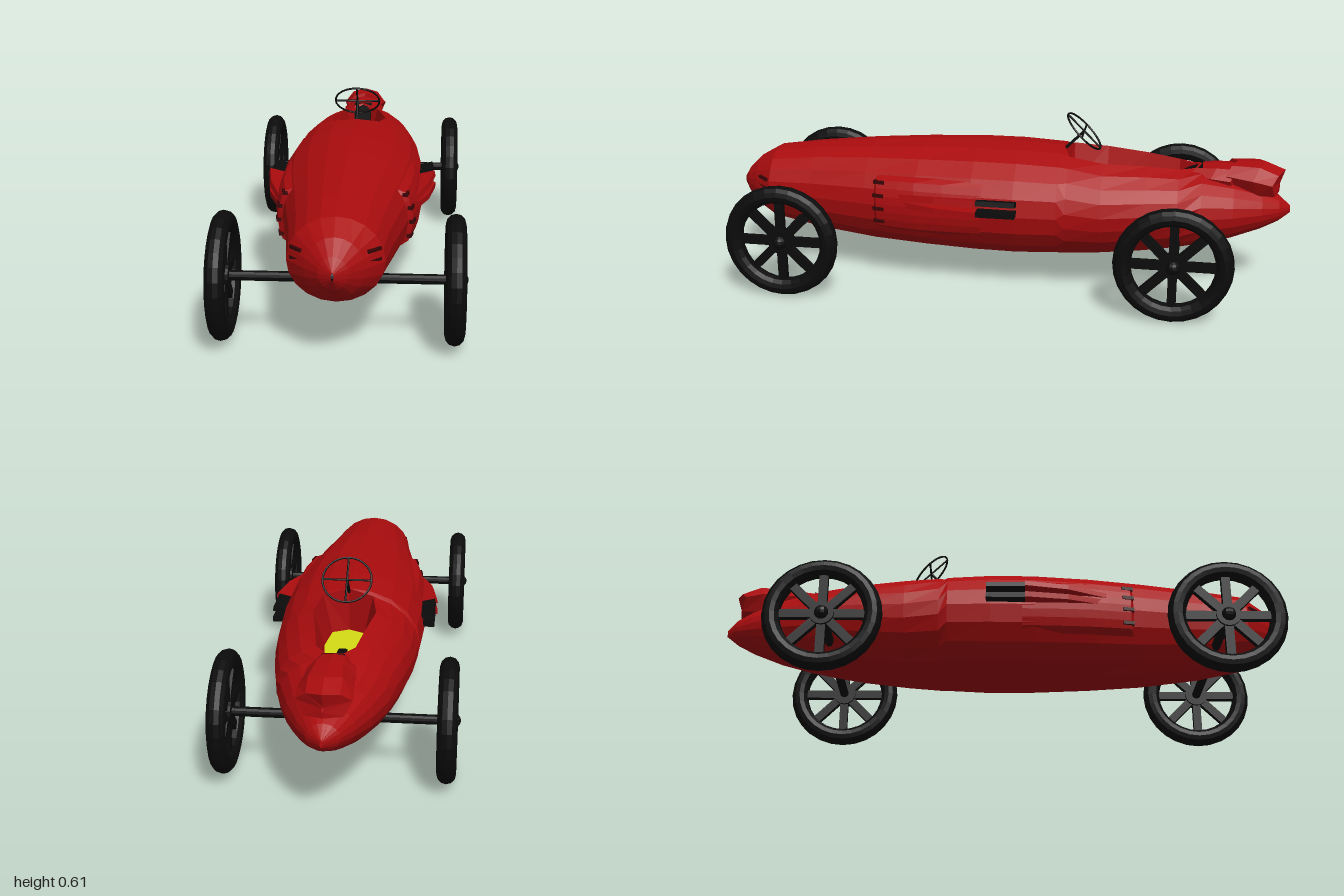
import * as THREE from 'three';

const paint = (color) => new THREE.MeshStandardMaterial({ color, flatShading: true, side: THREE.DoubleSide });
const red = paint(0xaa0c0e), black = paint(0x0b0b0b), yellow = paint(0xd6dc14), dark = paint(0x3a0406);

const MID = 0.3; // height of the widest line of the hull
// z, half width, top, bottom, half width of the cockpit opening
const HULL = [
  [1.0, 0.004, 0.31, 0.285, 0], [0.975, 0.045, 0.35, 0.25, 0], [0.93, 0.09, 0.395, 0.205, 0],
  [0.86, 0.148, 0.436, 0.17, 0], [0.7, 0.166, 0.46, 0.135, 0], [0.49, 0.2, 0.48, 0.11, 0],
  [0.3, 0.232, 0.492, 0.1, 0], [0.1, 0.252, 0.5, 0.094, 0], [-0.05, 0.255, 0.5, 0.093, 0],
  [-0.2, 0.247, 0.492, 0.1, 0], [-0.23, 0.245, 0.488, 0.102, 0.085], [-0.35, 0.236, 0.482, 0.112, 0.105],
  [-0.5, 0.215, 0.466, 0.128, 0.08], [-0.61, 0.194, 0.45, 0.145, 0.062], [-0.69, 0.174, 0.436, 0.16, 0.0],
  [-0.8, 0.137, 0.41, 0.188, 0], [-0.9, 0.09, 0.375, 0.225, 0], [-0.96, 0.052, 0.345, 0.255, 0],
  [-1.0, 0.004, 0.31, 0.285, 0],
];

// Skin over rows of points, each row an array of [x, y, z]
function loft(rows) {
  const n = rows[0].length, index = [];
  for (let i = 0; i < rows.length - 1; i++) {
    for (let j = 0; j < n - 1; j++) {
      const a = i * n + j, b = a + 1, c = a + n, d = c + 1;
      index.push(a, b, c, b, d, c);
    }
  }
  const g = new THREE.BufferGeometry();
  g.setAttribute('position', new THREE.Float32BufferAttribute(rows.flat(2), 3));
  g.setIndex(index);
  const flat = g.toNonIndexed();
  flat.computeVertexNormals();
  return flat;
}

// Point on an oval section, angle measured from the top
function onSection([z, w, top, bottom], t, grow = 0) {
  const c = Math.cos(t), mid = Math.min(Math.max(MID, bottom), top);
  return [(w + grow) * Math.sin(t), mid + ((c > 0 ? top - mid : mid - bottom) + grow) * c, z];
}

function hullAt(z) {
  const i = Math.max(0, HULL.findIndex((r) => r[0] <= z) - 1), a = HULL[i], b = HULL[i + 1];
  const k = (a[0] - z) / (a[0] - b[0]);
  return a.map((v, j) => v + (b[j] - v) * k);
}

function add(parent, name, geometry, material, x = 0, y = 0, z = 0) {
  const m = new THREE.Mesh(geometry, material);
  m.name = name;
  m.position.set(x, y, z);
  parent.add(m);
  return m;
}

function rod(parent, name, from, to, radius, material, sides = 8) {
  const a = new THREE.Vector3(...from), b = new THREE.Vector3(...to), d = b.clone().sub(a);
  const m = add(parent, name, new THREE.CylinderGeometry(radius, radius, d.length(), sides), material);
  m.position.copy(a).add(b).multiplyScalar(0.5);
  m.quaternion.setFromUnitVectors(new THREE.Vector3(0, 1, 0), d.normalize());
  return m;
}

function wheel(parent, name, x, z) {
  const g = new THREE.Group();
  g.name = name;
  g.position.set(x, 0.205, z);
  const tyre = add(g, 'tyre', new THREE.TorusGeometry(0.171, 0.031, 12, 28), black);
  tyre.rotation.y = Math.PI / 2;
  for (let i = 0; i < 4; i++) {
    const spoke = add(g, 'spokePair', new THREE.BoxGeometry(0.022, 0.31, 0.03), black);
    spoke.rotation.x = (i * Math.PI) / 4;
  }
  const hub = add(g, 'hub', new THREE.CylinderGeometry(0.042, 0.042, 0.04, 16), black);
  hub.rotation.z = Math.PI / 2;
  add(g, 'hubCap', new THREE.SphereGeometry(0.025, 12, 8), black, Math.sign(x) * 0.016);
  parent.add(g);
}

// One flank: raised scoop, exhaust fins and vents, built on +x
function flank(name) {
  const g = new THREE.Group();
  g.name = name;

  // Raised panel behind the front wheel, fading into the hull
  const rows = [[0.45, 0], [0.44, 0.014], [0.36, 0.014], [0.3, 0.013], [0.2, 0.008], [0.06, 0]].map(([z, lift]) => {
    const sec = hullAt(z), row = [];
    for (let i = 0; i <= 8; i++) {
      row.push(onSection(sec, 0.95 + i * 0.14, i === 0 || i === 8 ? -0.004 : lift));
    }
    return row;
  });
  add(g, 'scoopPanel', loft(rows), red);
  for (const t of [1.12, 1.36, 1.6, 1.84]) {
    const [x, y, z] = onSection(hullAt(0.43), t, 0.011);
    const slot = add(g, 'scoopSlot', new THREE.BoxGeometry(0.016, 0.012, 0.04), dark, x, y, z);
    slot.rotation.y = -0.17;
  }

  // Two flat fins, the upper one tilted up, with dark outlets
  const plan = new THREE.Shape([[0.17, 0.4], [0.222, 0.38], [0.275, 0.22], [0.297, 0.07], [0.2, 0.07]]
    .map(([x, z]) => new THREE.Vector2(x - 0.24, z)));
  [[0.317, 0], [0.346, 0.24]].forEach(([y, tilt]) => {
    const fin = new THREE.Group();
    fin.name = 'exhaustFin';
    fin.position.set(0.24, y, 0);
    fin.rotation.z = tilt;
    const geo = new THREE.ExtrudeGeometry(plan, { depth: 0.02, bevelEnabled: false });
    geo.rotateX(Math.PI / 2).translate(0, 0.01, 0);
    add(fin, 'fairing', geo, red);
    add(fin, 'outlet', new THREE.BoxGeometry(0.07, 0.018, 0.14), black, 0.015, 0, 0.005);
    g.add(fin);
  });

  // Nose vents
  for (const y of [0.313, 0.345]) {
    const vent = add(g, 'noseVent', new THREE.BoxGeometry(0.055, 0.01, 0.012), dark, 0.115, y, 0.888);
    vent.rotation.y = 0.85;
  }
  return g;
}

export function createModel() {
  const car = new THREE.Group();
  car.name = 'racingCar';

  // Hull, left open above the cockpit
  add(car, 'hull', loft(HULL.map((sec) => {
    const a = Math.asin(sec[4] / sec[1]), row = [];
    for (let j = 0; j <= 20; j++) row.push(onSection(sec, a + (j / 20) * (2 * Math.PI - 2 * a)));
    return row;
  })), red);

  // Cockpit walls, floor and seat
  const open = HULL.slice(9, 15), floorY = 0.34;
  const rim = (sec) => onSection(sec, Math.asin(sec[4] / sec[1]));
  for (const side of [1, -1]) {
    add(car, 'cockpitWall', loft(open.map((sec) => {
      const [x, y, z] = rim(sec);
      return [[side * x, y, z], [side * x * 0.65, floorY, z]];
    })), red);
  }
  add(car, 'cockpitFloor', loft(open.map((s) => [[-s[4] * 0.65, floorY, s[0]], [s[4] * 0.65, floorY, s[0]]])), yellow);
  add(car, 'seat', loft([[-0.4, 0.014, 0.35], [-0.52, 0.022, 0.36], [-0.6, 0.032, 0.4], [-0.69, 0.036, 0.452]]
    .map(([z, w, y]) => [[-w, floorY, z], [-w, y, z], [w, y, z], [w, floorY, z]])), black);

  // Headrest and stepped tail block
  const block = (name, rows) => add(car, name, loft(rows.map(([z, w, top, bottom]) => [
    [0, top, z - w * 0.0], [w * 0.6, top - 0.008, z + w * 0.3], [w, (top + bottom) / 2 + 0.005, z + w * 0.55],
    [w * 0.7, bottom, z + w * 0.4], [0, bottom, z + w * 0.2], [-w * 0.7, bottom, z + w * 0.4],
    [-w, (top + bottom) / 2 + 0.005, z + w * 0.55], [-w * 0.6, top - 0.008, z + w * 0.3], [0, top, z],
  ])), red);
  block('headrest', [[-0.67, 0.003, 0.43, 0.42], [-0.68, 0.055, 0.45, 0.38], [-0.76, 0.075, 0.456, 0.37],
    [-0.83, 0.08, 0.455, 0.36], [-0.83, 0.003, 0.42, 0.4]]);
  block('tailBlock', [[-0.8, 0.003, 0.43, 0.41], [-0.81, 0.07, 0.468, 0.38], [-0.91, 0.085, 0.468, 0.36],
    [-0.975, 0.085, 0.442, 0.36], [-0.96, 0.003, 0.4, 0.38]]);

  // Steering wheel, tilted toward the driver
  const steering = new THREE.Group();
  steering.name = 'steeringWheel';
  steering.position.set(0, 0.547, -0.27);
  steering.rotation.x = Math.PI / 4;
  add(steering, 'rim', new THREE.TorusGeometry(0.083, 0.0035, 6, 28), black);
  rod(steering, 'crossSpoke', [-0.083, 0, 0], [0.083, 0, 0], 0.0035, black);
  rod(steering, 'uprightSpoke', [0, -0.083, 0], [0, 0.083, 0], 0.0035, black);
  rod(steering, 'column', [0, 0, 0], [0, 0, 0.095], 0.005, black);
  car.add(steering);

  // Axles and wheels
  for (const [end, z] of [['front', 0.745], ['rear', -0.61]]) {
    rod(car, end + 'Axle', [-0.375, 0.205, z], [0.375, 0.205, z], 0.016, black, 12);
    wheel(car, end + 'LeftWheel', 0.357, z);
    wheel(car, end + 'RightWheel', -0.357, z);
  }

  // Flanks, mirrored
  const left = flank('leftFlank'), right = flank('rightFlank');
  right.scale.x = -1;
  car.add(left, right);
  return car;
}
